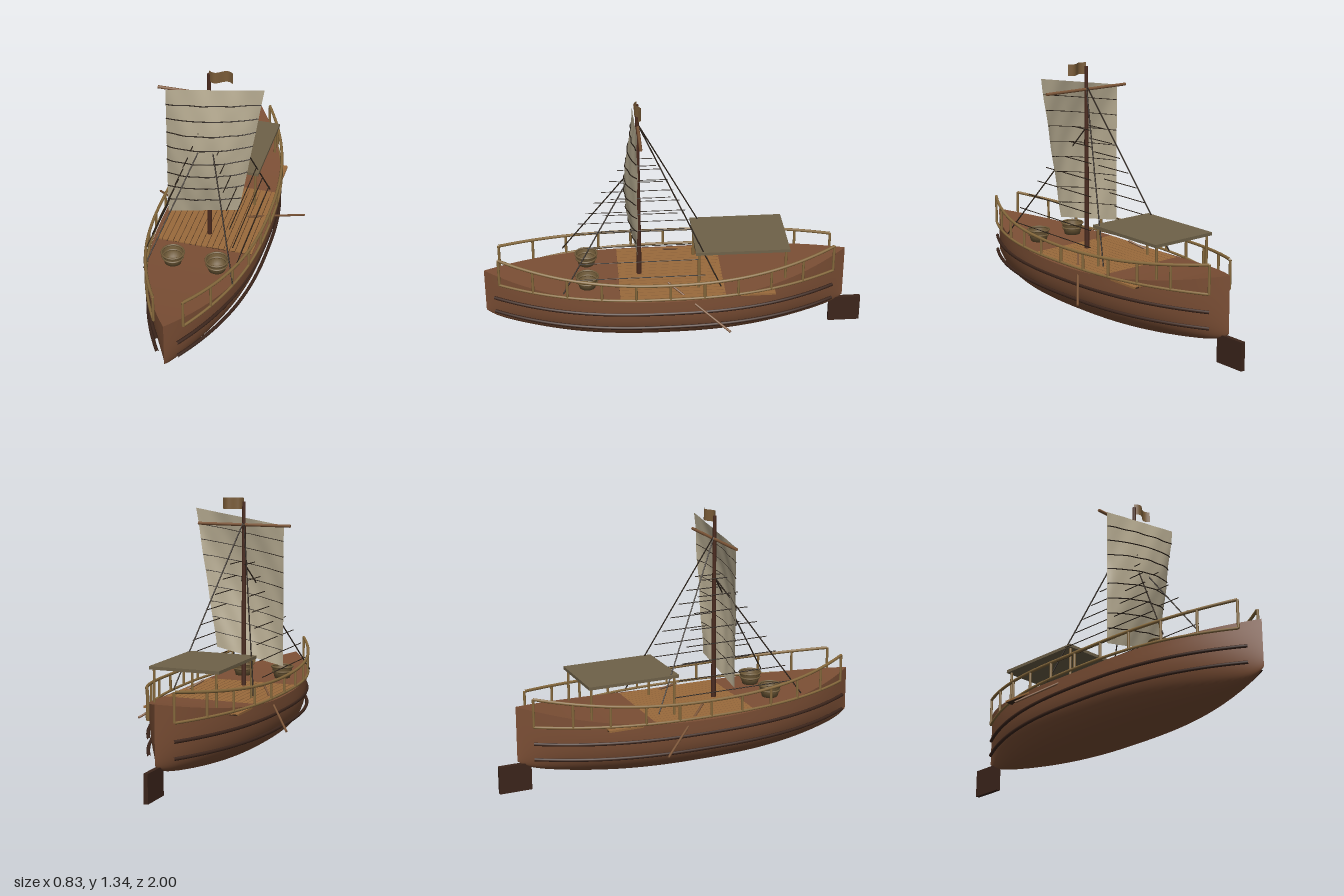
import * as THREE from 'three';

const mat = (color, side = THREE.FrontSide) => new THREE.MeshStandardMaterial({ color, side });
const MATS = {
  hull: mat(0x7c4f35), plank: mat(0x9a6a3c), gap: mat(0x3a2618), dark: mat(0x3c251b), rail: mat(0x86693c),
  mast: mat(0x4a2a1e), yard: mat(0x7d5638), rope: mat(0x2a2119), roof: mat(0x6f6249),
  basket: mat(0x6f5a38, THREE.DoubleSide), sail: mat(0xb5aa90, THREE.DoubleSide), flag: mat(0x7a5c38, THREE.DoubleSide),
};
const V = (x, y, z) => new THREE.Vector3(x, y, z);

// Hull lines as functions of z
const station = z => (z - 0.05) / 0.95;
const halfWidth = z => 0.28 * Math.max(0, 1 - Math.abs(station(z)) ** 2.5);
const sheer = z => 0.335 + (z > 0.05 ? 0.065 : 0.115) * station(z) ** 2;
const keel = z => {
  const t = Math.abs(station(z));
  return 0.05 + 0.075 * t ** 2.6 + 0.035 * t ** 20;
};

function add(parent, name, geometry, material) {
  const mesh = new THREE.Mesh(geometry, material);
  mesh.name = name;
  parent.add(mesh);
  return mesh;
}

function box(parent, name, material, size, pos) {
  const mesh = add(parent, name, new THREE.BoxGeometry(...size), material);
  mesh.position.set(...pos);
  return mesh;
}

// Round bar between two points
function bar(parent, name, material, a, b, r0, r1 = r0, sides = 8) {
  const dir = b.clone().sub(a);
  const mesh = add(parent, name, new THREE.CylinderGeometry(r1, r0, dir.length(), sides), material);
  mesh.position.copy(a).addScaledVector(dir, 0.5);
  mesh.quaternion.setFromUnitVectors(V(0, 1, 0), dir.normalize());
  return mesh;
}

// Bent bar sampled from a function of 0..1
function bent(parent, name, material, fn, r, n = 40) {
  const pts = Array.from({ length: n + 1 }, (_, i) => fn(i / n));
  return add(parent, name, new THREE.TubeGeometry(new THREE.CatmullRomCurve3(pts), n * 2, r, 8), material);
}

// Surface from a function of (u, v)
function surface(fn, nu, nv) {
  const pos = [], index = [];
  for (let j = 0; j <= nv; j++)
    for (let i = 0; i <= nu; i++) pos.push(...fn(i / nu, j / nv).toArray());
  for (let j = 0; j < nv; j++)
    for (let i = 0; i < nu; i++) {
      const a = j * (nu + 1) + i, b = a + 1, c = a + nu + 1, d = c + 1;
      index.push(a, b, c, b, d, c);
    }
  const g = new THREE.BufferGeometry();
  g.setAttribute('position', new THREE.Float32BufferAttribute(pos, 3));
  g.setIndex(index);
  g.computeVertexNormals();
  return g;
}

function buildHull(parent) {
  const hull = new THREE.Group();
  hull.name = 'hull';
  parent.add(hull);
  const zAt = v => 0.05 - 0.95 * Math.cos(Math.PI * v);
  // Superelliptic sections from the right gunwale round the keel to the left
  add(hull, 'hullShell', surface((u, v) => {
    const z = zAt(v), a = Math.PI * u, c = -Math.cos(a), s = Math.sin(a), e = 2 / 2.7;
    const x = halfWidth(z) * Math.sign(c) * Math.abs(c) ** e;
    const y = sheer(z) - (sheer(z) - keel(z)) * Math.max(0, s) ** e;
    return V(x, y, z);
  }, 40, 64), MATS.hull);
  add(hull, 'deck', surface((u, v) => {
    const z = zAt(v);
    return V(halfWidth(z) * (1 - 2 * u), sheer(z), z);
  }, 8, 64), MATS.hull);

  // Raised planks amidships
  box(hull, 'plankGaps', MATS.gap, [0.5, 0.006, 0.8], [0, 0.339, -0.1]);
  for (let i = -8; i <= 8; i++)
    box(hull, 'deckPlank', MATS.plank, [0.027, 0.01, 0.8], [i * 0.03, 0.341, -0.1]);

  // Rubbing strakes along both sides
  for (const s of [-1, 1])
    for (const y of [0.262, 0.18])
      bent(hull, 'strake', MATS.dark, t => {
        const z = 0.95 - 1.78 * t;
        return V(s * (halfWidth(z) + 0.022 * Math.abs(station(z)) ** 3 - 0.004), y, z);
      }, 0.009);
  box(hull, 'rudder', MATS.dark, [0.022, 0.145, 0.17], [0, 0.0725, -0.915]);
}

function buildRailing(parent, s) {
  const railing = new THREE.Group();
  railing.name = s > 0 ? 'leftRailing' : 'rightRailing';
  parent.add(railing);
  const at = (t, top) => {
    const z = 0.92 - 1.75 * t, u = (z - 0.045) / 0.875;
    return V(s * (halfWidth(z) + 0.004 + 0.015 * u ** 4), top ? 0.437 + 0.063 * u * u : 0.353, z);
  };
  bent(railing, 'topRail', MATS.rail, t => at(t, true), 0.008);
  bent(railing, 'bottomRail', MATS.rail, t => at(t, false), 0.007);
  for (let i = 0; i <= 10; i++)
    bar(railing, 'railPost', MATS.rail, at(i / 10, false), at(i / 10, true), 0.007);
}

function buildRig(parent) {
  const rig = new THREE.Group();
  rig.name = 'rig';
  parent.add(rig);
  bar(rig, 'mast', MATS.mast, V(0, 0.33, 0.19), V(0, 1.32, 0.19), 0.013, 0.009, 12);
  bar(rig, 'yard', MATS.yard, V(-0.26, 1.2, 0.187), V(0.26, 1.2, 0.187), 0.008);

  // Skewed, billowing sail with battens across it
  const sailAt = (u, v, off = 0) => {
    const right = THREE.MathUtils.lerp(0.16, 0.28, v);
    const x = THREE.MathUtils.lerp(-0.217, right, u);
    const bulge = 0.055 * Math.sin(Math.PI * u) ** 0.8 * Math.sin(Math.PI * v);
    const ripple = 0.003 * Math.sin(u * 20) * Math.sin(v * 16);
    return V(x, 0.46 + 0.74 * v + 0.08 * u, 0.205 + bulge + ripple + off);
  };
  add(rig, 'sail', surface((u, v) => sailAt(u, v), 32, 40), MATS.sail);
  for (let i = 1; i <= 8; i++)
    bent(rig, 'batten', MATS.rope, u => sailAt(u, i / 9, 0.002), 0.0028, 20);

  // Shrouds, stays and the rungs between them
  for (const s of [-1, 1]) {
    bar(rig, 'backStay', MATS.rope, V(0, 1.22, 0.19), V(s * 0.22, 0.38, -0.22), 0.0035, 0.0035, 6);
    bar(rig, 'foreStay', MATS.rope, V(0, 1, 0.19), V(s * 0.23, 0.38, 0.59), 0.0035, 0.0035, 6);
    for (let i = 0; i < 8; i++) {
      const y = 1 - i * 0.077, d = 1 - y, x = s * (0.04 + 0.36 * d);
      bar(rig, 'rung', MATS.rope, V(x, y, 0.25 + 0.55 * d), V(x, y, 0.1 - 0.44 * d), 0.0025, 0.0025, 6);
    }
  }

  // Waving flag
  add(rig, 'flag', surface((u, v) =>
    V(0.12 * u, 1.28 + 0.06 * v, 0.19 + 0.016 * Math.sin(u * Math.PI * 2)), 20, 4), MATS.flag);
}

function buildCanopy(parent) {
  const canopy = new THREE.Group();
  canopy.name = 'canopy';
  parent.add(canopy);
  box(canopy, 'canopyRoof', MATS.roof, [0.37, 0.016, 0.485], [0, 0.555, -0.335]);
  for (const x of [-0.165, 0.165])
    for (const z of [-0.11, -0.56])
      bar(canopy, 'canopyPost', MATS.rail, V(x, 0.34, z), V(x, 0.55, z), 0.007);
}

function buildBasket(parent, x) {
  const basket = new THREE.Group();
  basket.name = 'basket';
  basket.position.set(x, 0.348, 0.465);
  parent.add(basket);
  const profile = [[0, 0], [0.042, 0], [0.05, 0.03], [0.057, 0.062]].map(p => new THREE.Vector2(...p));
  add(basket, 'basketBowl', new THREE.LatheGeometry(profile, 24), MATS.basket);
  for (const [r, y] of [[0.057, 0.062], [0.052, 0.036]]) {
    const hoop = add(basket, 'basketHoop', new THREE.TorusGeometry(r, 0.005, 8, 28), MATS.basket);
    hoop.rotation.x = Math.PI / 2;
    hoop.position.y = y;
  }
}

export function createModel() {
  const boat = new THREE.Group();
  boat.name = 'sailingBoat';
  buildHull(boat);
  buildRig(boat);
  buildCanopy(boat);
  for (const s of [-1, 1]) {
    buildRailing(boat, s);
    buildBasket(boat, s * 0.115);
    bar(boat, 'oar', MATS.yard, V(s * 0.17, 0.385, 0.05), V(s * 0.408, 0.222, -0.25), 0.006);
  }
  return boat;
}
